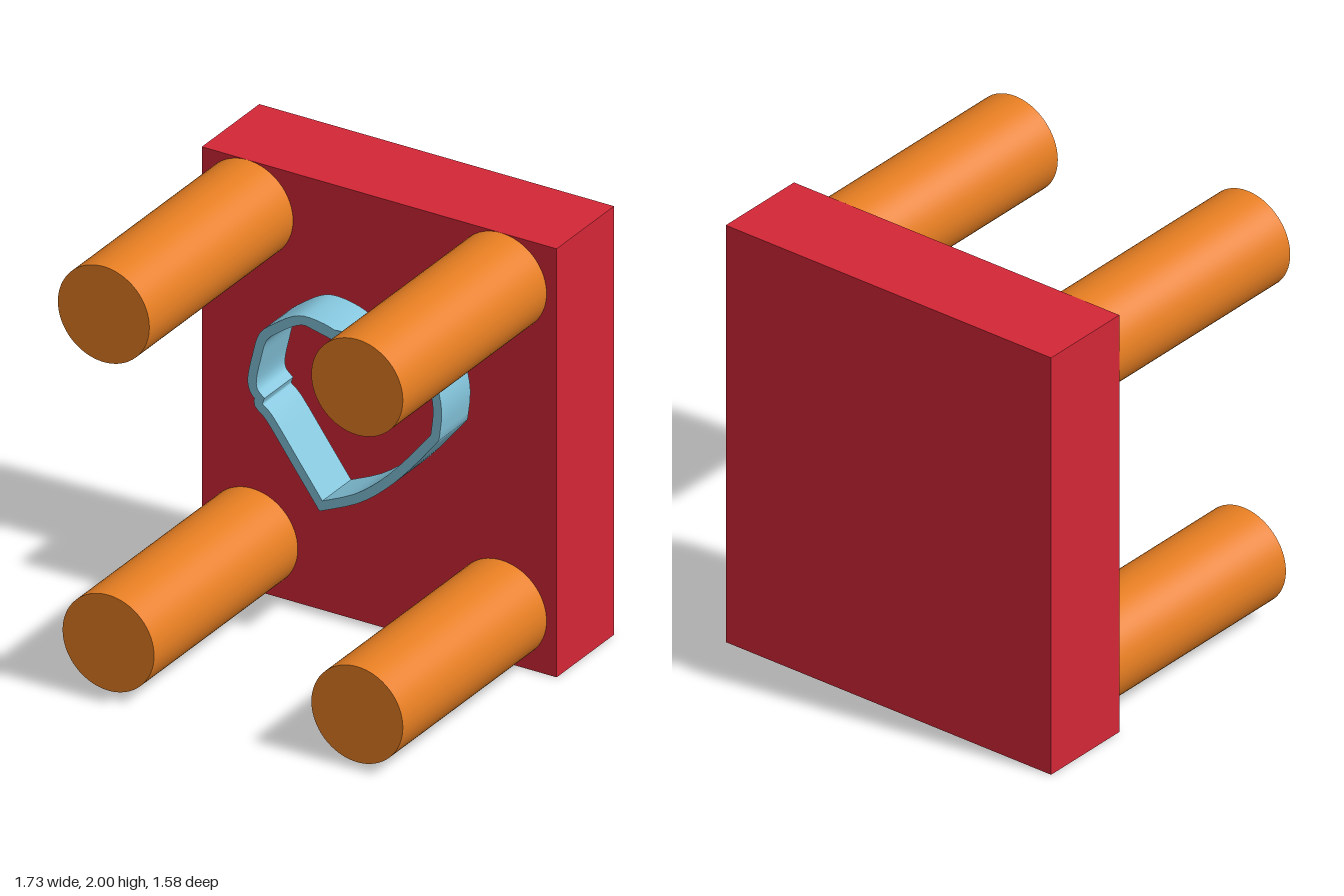
import * as THREE from 'three';
import { toCreasedNormals } from 'three/addons/utils/BufferGeometryUtils.js';

const material = (color) => new THREE.MeshStandardMaterial({ color });

// Centre line of the heart: smooth runs that meet in sharp corners.
const heartRuns = [
  [[-0.13, 0.635], [0.04, 0.715], [0.17, 0.815], [0.29, 0.94], [0.425, 1.106]],
  [[0.425, 1.106], [0.438, 1.233], [0.415, 1.345], [0.355, 1.444], [0.275, 1.503], [0.18, 1.524],
    [0.12, 1.508], [0.085, 1.45], [0.053, 1.368]],
  [[0.053, 1.368], [0, 1.418], [-0.085, 1.46], [-0.185, 1.478], [-0.255, 1.465], [-0.345, 1.407],
    [-0.413, 1.346], [-0.444, 1.243], [-0.466, 1.138], [-0.458, 1.085], [-0.43, 1.055]],
  [[-0.43, 1.055], [-0.433, 1.022], [-0.38, 0.975], [-0.254, 0.804], [-0.13, 0.635]],
];

function heartLine() {
  return heartRuns.flatMap((run) => {
    const curve = new THREE.SplineCurve(run.map(([x, y]) => new THREE.Vector2(x, y)));
    return curve.getPoints((run.length - 1) * 3).slice(0, -1);
  });
}

// Shift a closed counterclockwise line outwards, with limited mitres.
function offset(points, distance) {
  const n = points.length;
  const normal = (a, b) => new THREE.Vector2(b.y - a.y, a.x - b.x).normalize();
  return points.map((p, i) => {
    const n1 = normal(points[(i + n - 1) % n], p);
    const n2 = normal(p, points[(i + 1) % n]);
    const mid = n1.clone().add(n2).normalize();
    return p.clone().addScaledVector(mid, distance / Math.max(mid.dot(n1), 0.75));
  });
}

export function createModel() {
  const model = new THREE.Group();
  const add = (name, geometry, mat, x, y, z) => {
    const mesh = new THREE.Mesh(geometry, mat);
    mesh.name = name;
    mesh.position.set(x, y, z);
    model.add(mesh);
  };

  // Upright slab at the back
  add('slab', new THREE.BoxGeometry(1.73, 2, 0.45), material(0xd42636), 0, 1, -0.563);

  // Four round legs reaching forwards
  const legGeometry = new THREE.CylinderGeometry(0.223, 0.223, 1.125, 64).rotateX(Math.PI / 2);
  const orange = material(0xe67e22);
  const legs = {
    upperRightLeg: [-0.643, 1.777],
    upperLeftLeg: [0.593, 1.777],
    lowerRightLeg: [-0.62, 0.25],
    lowerLeftLeg: [0.593, 0.25],
  };
  for (const [name, [x, y]] of Object.entries(legs)) add(name, legGeometry, orange, x, y, 0.225);

  // Thin heart-shaped band floating just off the slab
  const line = heartLine();
  const heart = new THREE.Shape(offset(line, 0.021));
  heart.holes.push(new THREE.Path(offset(line, -0.021)));
  const band = new THREE.ExtrudeGeometry(heart, { depth: 0.225, bevelEnabled: false });
  add('heartBand', toCreasedNormals(band, 0.6), material(0x84c5dc), 0, 0, -0.315);

  return model;
}
